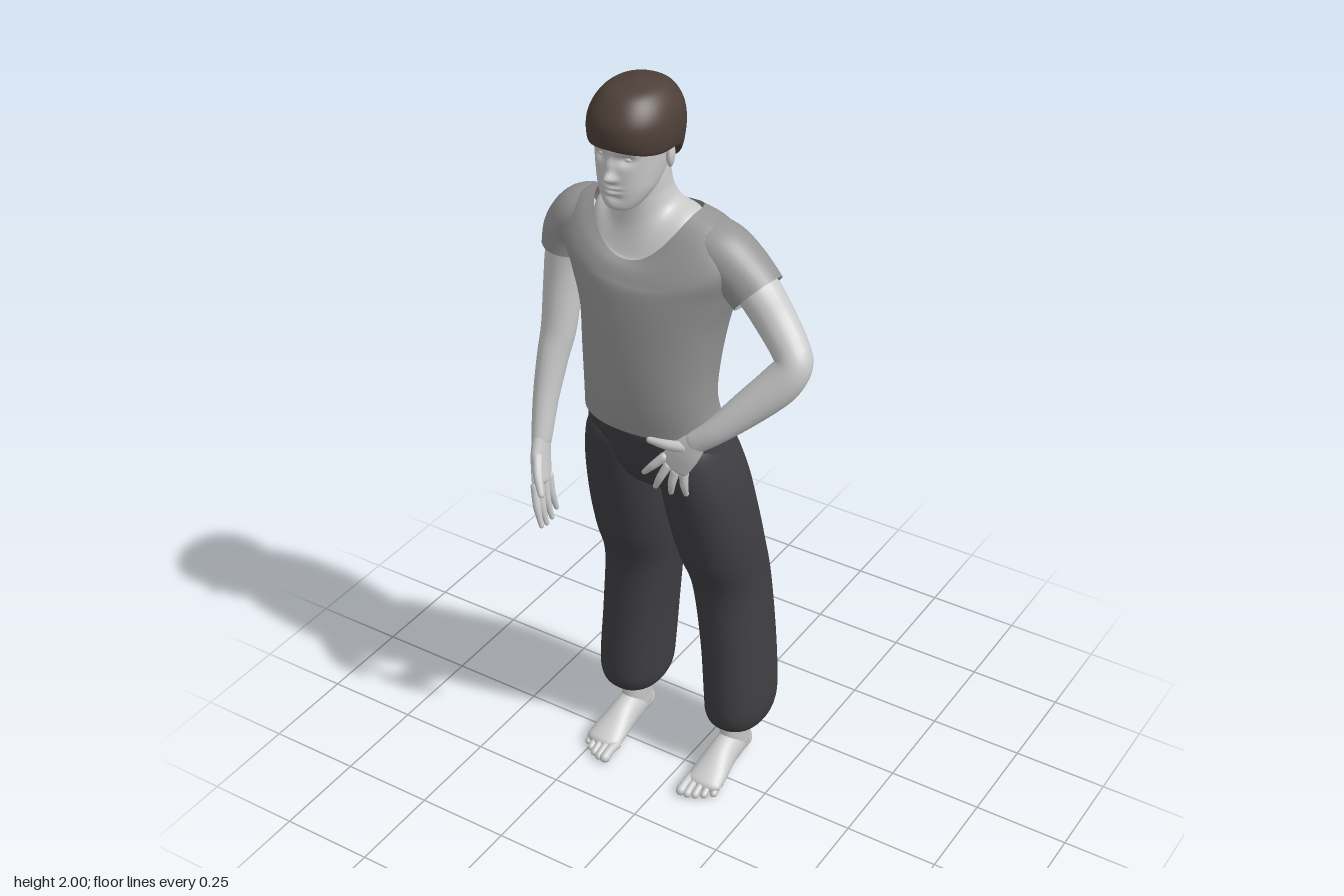
import * as THREE from 'three';

const mat = (color) => new THREE.MeshStandardMaterial({ color, side: THREE.DoubleSide });

// Skin a list of point rings into one smooth surface
function skin(rings) {
  const n = rings[0].length, pos = [], idx = [];
  rings.forEach((r) => r.forEach((p) => pos.push(p.x, p.y, p.z)));
  for (let j = 0; j < rings.length - 1; j++)
    for (let i = 0; i < n; i++) {
      const a = j * n + i, b = j * n + (i + 1) % n;
      idx.push(a, a + n, b, b, a + n, b + n);
    }
  const g = new THREE.BufferGeometry();
  g.setAttribute('position', new THREE.Float32BufferAttribute(pos, 3));
  g.setIndex(idx);
  g.computeVertexNormals();
  return g;
}

// Smoothly interpolate rows of numbers
function refine(rows, steps) {
  const out = [], last = rows.length - 1;
  const cr = (a, b, c, d, t) => b + 0.5 * t * (c - a + t * (2 * a - 5 * b + 4 * c - d + t * (3 * (b - c) + d - a)));
  for (let i = 0; i < last; i++)
    for (let s = 0; s < steps; s++) {
      const [a, b, c, d] = [rows[Math.max(i - 1, 0)], rows[i], rows[i + 1], rows[Math.min(i + 2, last)]];
      out.push(b.map((_, k) => cr(a[k], b[k], c[k], d[k], s / steps)));
    }
  out.push(rows[last]);
  return out;
}

// Upright loft, bottom to top; rows: [y, xMin, xMax, zBack, zFront, frontDrop, backDrop]
function loft(rows, { n = 48, steps = 6, e = 2.2, bump } = {}) {
  const full = rows.map((r) => [...r, 0, 0].slice(0, 7));
  const pw = (v) => Math.sign(v) * Math.abs(v) ** (2 / e);
  return skin(refine(full, steps).map(([y, x0, x1, zb, zf, df, db]) => {
    const ring = [];
    for (let i = 0; i < n; i++) {
      const c = Math.cos(i / n * Math.PI * 2), s = Math.sin(i / n * Math.PI * 2);
      const p = new THREE.Vector3((x0 + x1) / 2 + (x1 - x0) / 2 * pw(c), y - (s > 0 ? df : db) * s * s,
        (zb + zf) / 2 + (zf - zb) / 2 * pw(s));
      if (bump && s > 0) p.z += bump(p.x, p.y) * Math.min(1, s * 2);
      ring.push(p);
    }
    return ring;
  }));
}

// Limb along a path with rounded ends; rows: [x, y, z, radius along ref, other radius]
function limb(rows, ref, { n = 20, steps = 5, caps = true } = {}) {
  const pts = refine(rows, steps), P = pts.map((r) => new THREE.Vector3(r[0], r[1], r[2]));
  const rings = [];
  const ringAt = (i, off, k) => {
    const T = P[Math.min(i + 1, P.length - 1)].clone().sub(P[Math.max(i - 1, 0)]).normalize();
    const S = ref.clone().addScaledVector(T, -ref.dot(T)).normalize(), B = S.clone().cross(T);
    rings.push(Array.from({ length: n }, (_, j) => {
      const a = j / n * Math.PI * 2;
      return P[i].clone().addScaledVector(T, off).addScaledVector(S, Math.cos(a) * pts[i][3] * k)
        .addScaledVector(B, Math.sin(a) * pts[i][4] * k);
    }));
  };
  const cap = (i, dir) => [1, 2, 3, 4].forEach((q) => {
    const a = (dir < 0 ? 5 - q : q) / 4 * Math.PI / 2 - (dir < 0 ? Math.PI / 8 : 0);
    const t = dir < 0 ? (5 - q) / 4 * Math.PI / 2 : a;
    ringAt(i, dir * Math.min(pts[i][3], pts[i][4]) * Math.sin(t), Math.cos(t));
  });
  if (caps) cap(0, -1);
  P.forEach((_, i) => ringAt(i, 0, 1));
  if (caps) cap(P.length - 1, 1);
  return skin(rings);
}

export function createModel() {
  const root = new THREE.Group();
  const X = new THREE.Vector3(1, 0, 0), Z = new THREE.Vector3(0, 0, 1);
  const body = mat(0xcccccc), cloth = mat(0x969696), dark = mat(0x3f3f43), brown = mat(0x4d3f38);
  const add = (name, geo, m = body) => {
    const mesh = new THREE.Mesh(geo, m);
    mesh.name = name;
    root.add(mesh);
    return mesh;
  };
  const hx = -0.085; // head centre line

  // Head, with the features raised and sunk in the face
  const features = [ // x, y, width, height, depth
    [0, 1.803, 0.011, 0.012, 0.02], [0, 1.83, 0.008, 0.025, 0.011], [0.012, 1.798, 0.007, 0.007, 0.007],
    [-0.012, 1.798, 0.007, 0.007, 0.007], [0.033, 1.846, 0.017, 0.012, -0.013], [-0.033, 1.846, 0.017, 0.012, -0.013],
    [0, 1.869, 0.06, 0.01, 0.004], [0, 1.776, 0.02, 0.005, 0.007], [0, 1.764, 0.018, 0.005, 0.007],
    [0, 1.77, 0.022, 0.002, -0.004], [0, 1.751, 0.02, 0.006, -0.004], [0, 1.73, 0.022, 0.012, 0.005],
  ];
  const face = (x, y) => features.reduce((d, [fx, fy, w, h, a]) =>
    d + a * Math.exp(-(((x - hx - fx) / w) ** 2) - ((y - fy) / h) ** 2), 0);
  const headRow = (y, r, zb, zf) => [y, hx - r, hx + r, zb, zf];
  add('head', loft([headRow(1.712, 0.002, 0.13, 0.135), headRow(1.717, 0.032, 0.1, 0.163), headRow(1.735, 0.05, 0.07, 0.171),
    headRow(1.765, 0.066, 0.03, 0.174), headRow(1.8, 0.074, 0, 0.176), headRow(1.845, 0.08, -0.025, 0.178),
    headRow(1.89, 0.084, -0.035, 0.179), headRow(1.94, 0.078, -0.025, 0.165), headRow(1.98, 0.02, 0.05, 0.09)],
  { n: 96, steps: 10, bump: face }));
  for (const s of [-1, 1]) {
    const eye = add(s > 0 ? 'leftEye' : 'rightEye', new THREE.SphereGeometry(0.012, 20, 14));
    eye.position.set(hx + s * 0.032, 1.845, 0.15);
    eye.scale.set(1.2, 0.7, 1);
    const ear = add(s > 0 ? 'leftEar' : 'rightEar', new THREE.SphereGeometry(0.03, 20, 14));
    ear.position.set(hx + s * 0.081, 1.832, 0.055);
    ear.scale.set(0.35, 1.1, 0.65);
    ear.rotation.y = s * 0.4;
  }

  // Hair cap: fringe in front, longer at the nape
  add('hair', loft([[1.856, hx - 0.083, hx + 0.083, -0.022, 0.172, -0.016, 0.075], [1.855, hx - 0.096, hx + 0.096, -0.04, 0.185, -0.016, 0.08],
    [1.89, hx - 0.102, hx + 0.102, -0.055, 0.191, -0.006, 0.035], [1.93, hx - 0.098, hx + 0.098, -0.054, 0.187, 0, 0.01],
    [1.965, hx - 0.081, hx + 0.081, -0.034, 0.164], [1.988, hx - 0.054, hx + 0.054, 0.0, 0.132],
    [2, hx - 0.001, hx + 0.001, 0.067, 0.07]], { n: 64 }), brown);

  // Neck and upper chest inside the neckline
  add('neck', loft([[1.5, -0.21, 0.06, -0.07, 0.14], [1.6, -0.22, 0.07, -0.075, 0.14, 0.03, 0],
    [1.675, -0.205, 0.05, -0.068, 0.128, 0.09, 0.025], [1.695, -0.165, -0.002, -0.05, 0.112, 0.045, 0.015],
    [1.725, -0.152, -0.018, -0.03, 0.11], [1.77, -0.148, -0.022, -0.02, 0.115], [1.82, -0.145, -0.025, -0.015, 0.11]]));

  // Shirt: hem up to the scooped neckline
  add('shirt', loft([[1.12, -0.25, 0.102, -0.1, 0.152], [1.2, -0.238, 0.1, -0.077, 0.168], [1.3, -0.237, 0.108, -0.085, 0.178],
    [1.42, -0.243, 0.13, -0.096, 0.18], [1.51, -0.272, 0.158, -0.101, 0.175], [1.6, -0.3, 0.182, -0.096, 0.165, 0.06, 0.02],
    [1.665, -0.26, 0.128, -0.086, 0.152, 0.1, 0.03], [1.692, -0.209, 0.053, -0.072, 0.135, 0.112, 0.035]], { n: 64 }), cloth);
  add('rightSleeve', limb([[-0.215, 1.62, 0.025, 0.06, 0.07], [-0.262, 1.602, 0.025, 0.067, 0.078], [-0.302, 1.56, 0.025, 0.06, 0.072],
    [-0.32, 1.503, 0.027, 0.053, 0.063]], X, { n: 32, caps: false }), cloth);
  add('leftSleeve', limb([[0.06, 1.635, 0.025, 0.07, 0.052], [0.115, 1.607, 0.025, 0.076, 0.068], [0.17, 1.57, 0.028, 0.072, 0.068],
    [0.217, 1.53, 0.035, 0.066, 0.068]], Z, { n: 32, caps: false }), cloth);

  // Arms: right one hanging, left one bent with the hand at the hip
  add('rightArm', limb([[-0.28, 1.59, 0.025, 0.05, 0.055], [-0.318, 1.5, 0.025, 0.046, 0.052], [-0.331, 1.4, 0.025, 0.046, 0.05],
    [-0.336, 1.28, 0.04, 0.044, 0.045], [-0.342, 1.2, 0.063, 0.038, 0.043], [-0.343, 1.1, 0.097, 0.031, 0.036],
    [-0.336, 1.0, 0.132, 0.024, 0.03]], X));
  add('leftArm', limb([[0.13, 1.6, 0.03, 0.055, 0.05], [0.21, 1.54, 0.032, 0.053, 0.052], [0.265, 1.478, 0.038, 0.048, 0.05],
    [0.315, 1.425, 0.055, 0.044, 0.046], [0.333, 1.393, 0.07, 0.042, 0.044], [0.307, 1.345, 0.09, 0.043, 0.048],
    [0.245, 1.278, 0.127, 0.038, 0.042], [0.185, 1.218, 0.163, 0.028, 0.032], [0.14, 1.18, 0.18, 0.02, 0.027]], Z));

  // Hands: palm, then fingers as [base, tip] pairs, thumb last
  const hand = (side, palm, ref, digits) => {
    add(side + 'Palm', limb(palm, ref));
    digits.forEach(([a, b], i) => {
      const r = i === 4 ? 0.012 : 0.01, mid = a.map((v, k) => (v + b[k]) / 2);
      mid[2] += 0.005;
      add(side + (i === 4 ? 'Thumb' : 'Finger'), limb([[...a, r * 1.15, r * 1.15], [...mid, r, r], [...b, r * 0.65, r * 0.65]], ref, { n: 12 }));
    });
  };
  hand('right', [[-0.336, 1.01, 0.13, 0.022, 0.028], [-0.329, 0.96, 0.148, 0.019, 0.036], [-0.315, 0.905, 0.168, 0.014, 0.04]], X, [
    [[-0.313, 0.9, 0.199], [-0.288, 0.8, 0.214]], [[-0.313, 0.892, 0.179], [-0.292, 0.79, 0.186]],
    [[-0.313, 0.892, 0.158], [-0.297, 0.788, 0.156]], [[-0.314, 0.9, 0.138], [-0.302, 0.8, 0.128]],
    [[-0.322, 0.968, 0.172], [-0.28, 0.9, 0.22]]]);
  hand('left', [[0.145, 1.185, 0.178, 0.02, 0.026], [0.118, 1.148, 0.186, 0.018, 0.036], [0.09, 1.108, 0.19, 0.014, 0.039]], Z, [
    [[0.064, 1.122, 0.196], [0.015, 1.068, 0.206]], [[0.073, 1.1, 0.194], [0.042, 1.033, 0.199]],
    [[0.09, 1.086, 0.188], [0.075, 1.018, 0.183]], [[0.11, 1.083, 0.181], [0.108, 1.016, 0.168]],
    [[0.12, 1.165, 0.19], [0.03, 1.163, 0.205]]]);

  // Trousers: hips and two baggy legs gathered at the ankle
  add('hips', loft([[0.91, -0.11, -0.01, -0.07, 0.05], [0.94, -0.2, 0.07, -0.105, 0.085], [0.99, -0.255, 0.12, -0.115, 0.112],
    [1.05, -0.255, 0.112, -0.112, 0.131], [1.1, -0.243, 0.096, -0.1, 0.145], [1.135, -0.228, 0.085, -0.08, 0.145]]), dark);
  const depth = [[0.128, -0.165, -0.045], [0.14, -0.195, -0.02], [0.175, -0.222, 0], [0.24, -0.23, 0.005], [0.4, -0.23, 0],
    [0.58, -0.222, 0.004], [0.7, -0.197, 0.047], [0.82, -0.167, 0.08], [0.95, -0.14, 0.109], [1.05, -0.116, 0.128], [1.09, -0.09, 0.12]];
  const rightX = [[-0.26, -0.175], [-0.292, -0.15], [-0.308, -0.134], [-0.31, -0.128], [-0.3, -0.115], [-0.289, -0.096],
    [-0.288, -0.08], [-0.285, -0.068], [-0.274, -0.062], [-0.252, -0.07], [-0.235, -0.085]];
  const leftX = [[0.06, 0.142], [0.034, 0.172], [0.022, 0.187], [0.018, 0.19], [0.004, 0.18], [-0.02, 0.166],
    [-0.038, 0.164], [-0.05, 0.16], [-0.056, 0.143], [-0.07, 0.112], [-0.08, 0.085]];
  const leg = (xs) => loft(depth.map(([y, zb, zf], i) => [y, ...xs[i], zb, zf]));
  add('rightLeg', leg(rightX), dark);
  add('leftLeg', leg(leftX), dark);

  // Bare feet; s points to the outer side
  for (const [side, s, fx] of [['right', -1, -0.216], ['left', 1, 0.098]]) {
    add(side + 'Ankle', limb([[fx, 0.2, -0.105, 0.045, 0.05], [fx, 0.13, -0.1, 0.041, 0.052], [fx, 0.085, -0.097, 0.037, 0.053],
      [fx, 0.055, -0.1, 0.036, 0.052]], X));
    add(side + 'Foot', limb([[fx, 0.034, -0.13, 0.03, 0.034], [fx, 0.05, -0.085, 0.036, 0.05], [fx, 0.046, -0.03, 0.04, 0.046],
      [fx + s * 0.002, 0.031, 0.03, 0.048, 0.031], [fx + s * 0.003, 0.021, 0.07, 0.05, 0.021]], X, { n: 28 }));
    [0.014, 0.011, 0.0105, 0.01, 0.0095].forEach((r, i) => {
      const x = fx + s * (-0.036 + i * 0.0195), end = 0.122 - i * i * 0.0025 - (i ? 0 : 0.002);
      add(side + 'Toe', limb([[x, 0.02, 0.065 - i * 0.004, r, r], [x, 0.021, end - 0.025, r * 0.9, r * 0.9], [x, r, end, r, r]], X, { n: 12 }));
    });
  }
  return root;
}
